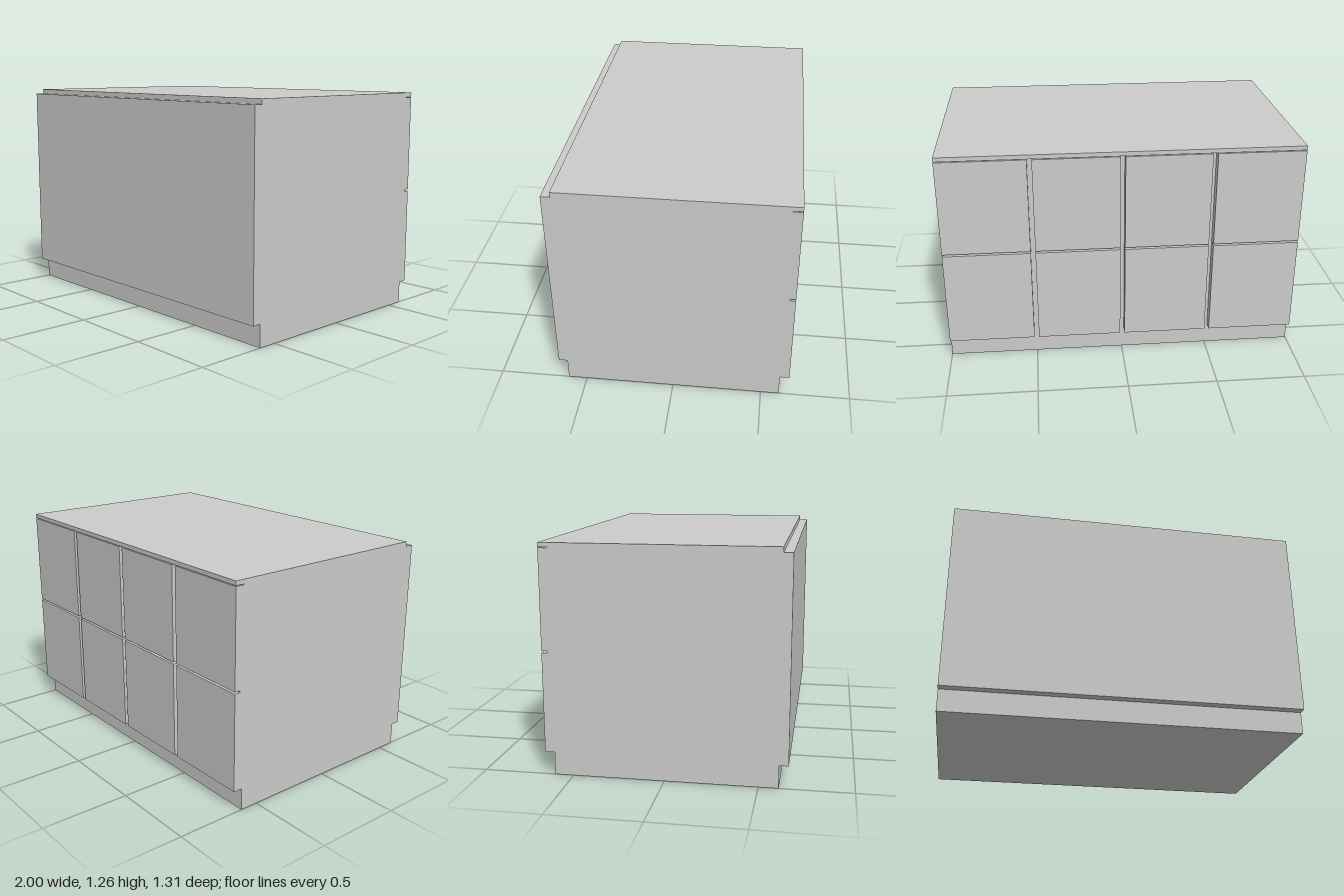
import * as THREE from 'three';

export function createModel() {
  const cabinet = new THREE.Group();
  cabinet.name = 'cabinet';
  const material = new THREE.MeshStandardMaterial({ color: 0xcccccc, flatShading: true });

  // Box given by its extents along each axis
  function block(name, [x0, x1], [y0, y1], [z0, z1]) {
    const mesh = new THREE.Mesh(new THREE.BoxGeometry(x1 - x0, y1 - y0, z1 - z0), material);
    mesh.name = name;
    mesh.position.set((x0 + x1) / 2, (y0 + y1) / 2, (z0 + z1) / 2);
    cabinet.add(mesh);
  }

  const width = [-1, 1];
  const bottom = 0.125, doorTop = 1.232, topY = 1.236, height = 1.26;
  const front = 0.656, frontInner = 0.606;
  const back = -0.656, backInner = -0.603, slotFloor = -0.623;

  // Body with recessed plinth, worktop and front panel
  block('plinth', width, [0, bottom], [backInner, frontInner]);
  block('carcass', width, [bottom, topY], [backInner, frontInner]);
  block('worktop', width, [topY, height], [back, frontInner]);
  block('frontPanel', width, [bottom, doorTop], [frontInner, front]);

  // Four columns of two doors on the back, separated by narrow grooves
  const columns = 4, gap = 0.026, pitch = 2 / columns;
  for (let i = 0; i < columns; i++) {
    const x = [
      -1 + i * pitch + (i > 0 ? gap / 2 : 0),
      -1 + (i + 1) * pitch - (i < columns - 1 ? gap / 2 : 0),
    ];
    block('doorBacking', x, [bottom, doorTop], [slotFloor, backInner]);
    block('lowerDoor', x, [bottom, 0.676], [back, slotFloor]);
    block('upperDoor', x, [0.687, doorTop], [back, slotFloor]);
  }
  return cabinet;
}
